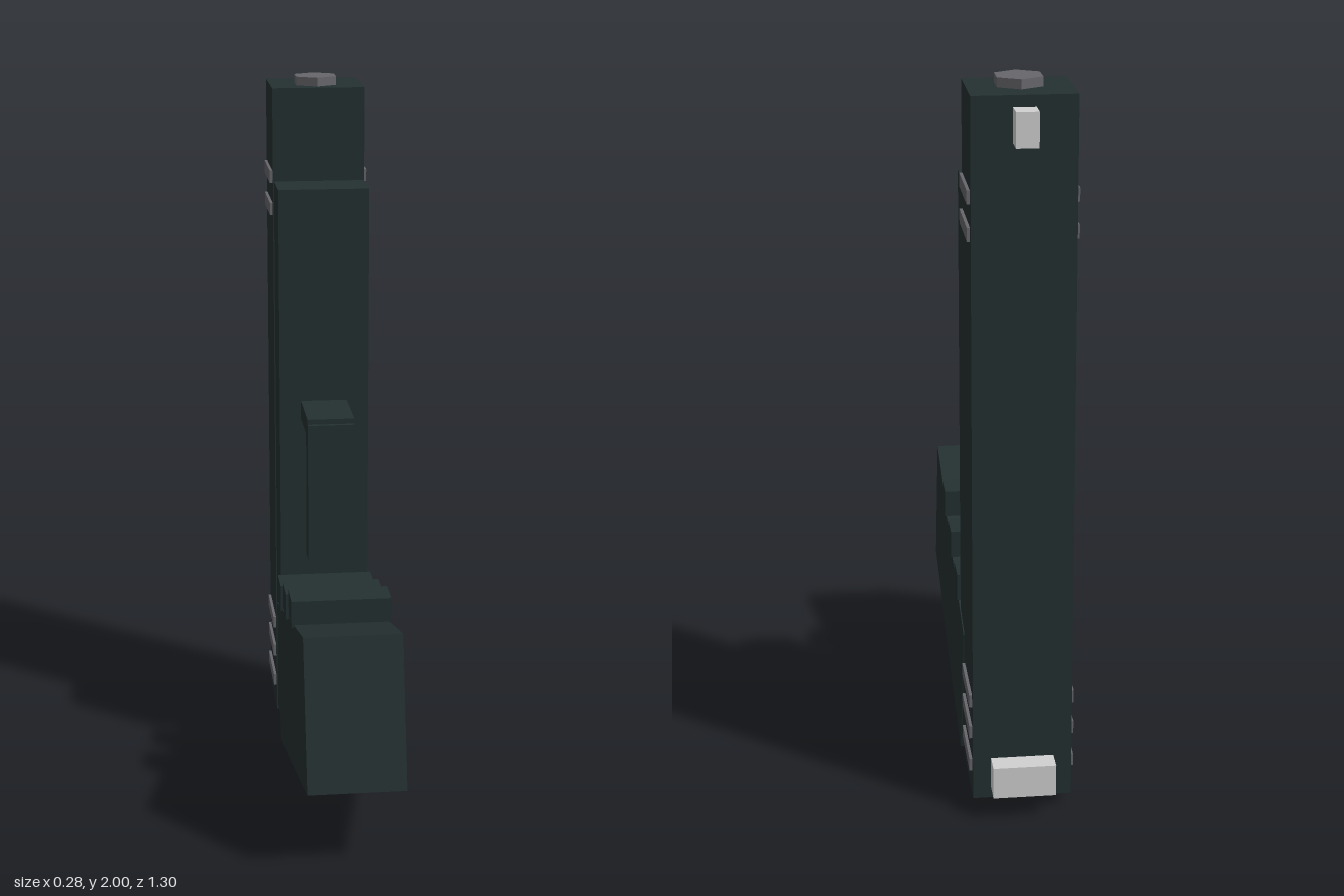
import * as THREE from 'three';

export function createModel() {
  const model = new THREE.Group();
  model.name = 'model';
  const mat = (name, color) => Object.assign(new THREE.MeshStandardMaterial({ color }), { name });
  const body = mat('dark slate', 0x243030);
  const steel = mat('steel grey', 0x66666b);
  const pale = mat('pale grey', 0xd0d0d0);

  const add = (name, geometry, material) => {
    const mesh = new THREE.Mesh(geometry, material);
    mesh.name = name;
    model.add(mesh);
    return mesh;
  };
  // Box centred on x, given by half width and its y and z ranges
  const block = (name, material, halfX, y0, y1, z0, z1) => {
    const mesh = add(name, new THREE.BoxGeometry(halfX * 2, y1 - y0, z1 - z0), material);
    mesh.position.set(0, (y0 + y1) / 2, (z0 + z1) / 2);
    return mesh;
  };

  // Long upright body
  block('slide', body, 0.134, 0.04, 1.975, -0.59, -0.36);
  block('frame', body, 0.131, 0.055, 1.705, -0.37, -0.215);

  // Hexagonal barrel end
  const barrel = add('barrelEnd', new THREE.CylinderGeometry(0.067, 0.067, 0.045, 6).toNonIndexed(), steel);
  barrel.geometry.computeVertexNormals();
  barrel.position.set(0, 1.9775, -0.455);

  // Slide serrations, showing on both sides
  for (const y of [0.132, 0.231, 0.324, 1.622, 1.717])
    block('serration', steel, 0.142, y - 0.018, y + 0.018, -0.57, -0.375);

  // Sights on the back
  block('frontSight', pale, 0.029, 1.855, 1.945, -0.65, -0.585);
  block('rearSight', pale, 0.085, 0.07, 0.16, -0.65, -0.585);

  // Tilted grip
  const grip = add('grip', new THREE.BoxGeometry(0.268, 0.421, 0.909), body);
  grip.position.set(0, 0.321, 0.161);
  grip.rotation.x = -Math.PI / 12;

  // Finger ridges stepping up the grip
  for (const [z, y] of [[-0.168, 0.5], [0.027, 0.548], [0.219, 0.598]])
    block('fingerRidge', body, 0.14, y - 0.039, y + 0.039, z - 0.048, z + 0.048);

  // Trigger guard and trigger
  block('guardTop', body, 0.067, 1.025, 1.08, -0.22, -0.015);
  block('guardFront', body, 0.067, 0.66, 1.065, -0.06, -0.003);
  const trigger = add('trigger', new THREE.BoxGeometry(0.09, 0.055, 0.2), body);
  trigger.position.set(0, 0.838, -0.138);
  trigger.rotation.x = 0.36;

  return model;
}
